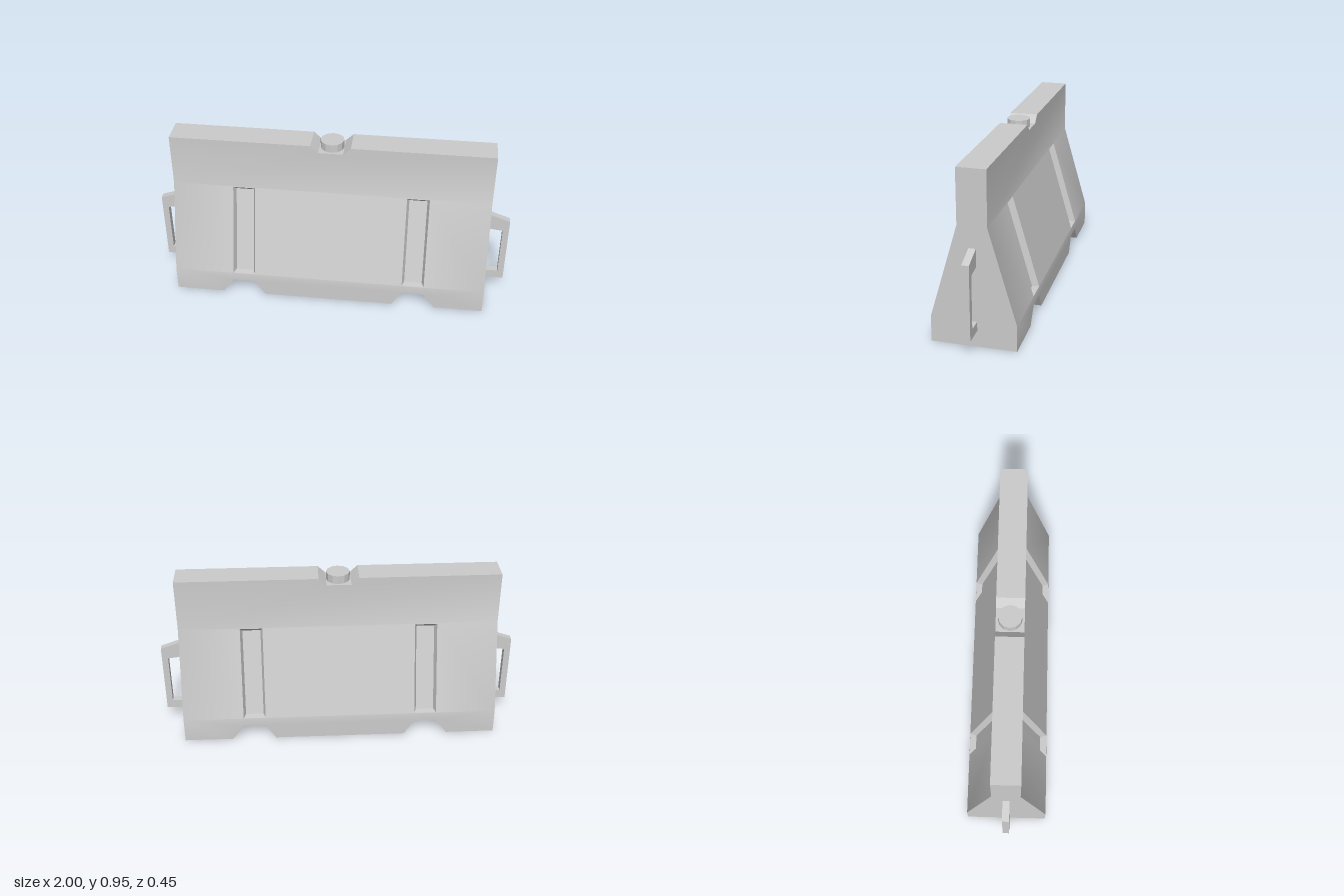
import * as THREE from 'three';
import { mergeGeometries, toCreasedNormals } from 'three/addons/utils/BufferGeometryUtils.js';

const material = new THREE.MeshStandardMaterial({ color: 0xcccccc });
const HALF = 0.89, TOP = 0.945, LOW = 0.14, HIGH = 0.65;
const BASE_W = 0.225, TOP_W = 0.077;

// half thickness of the barrier at height y
function halfWidth(y) {
  const t = THREE.MathUtils.clamp((y - LOW) / (HIGH - LOW), 0, 1);
  return THREE.MathUtils.lerp(BASE_W, TOP_W, t);
}

const toShape = (pts) => new THREE.Shape(pts.map(([x, y]) => new THREE.Vector2(x, y)));
const rect = (x0, x1, y0, y1) => [[x0, y0], [x1, y0], [x1, y1], [x0, y1]];

// geometry from a list of four-cornered faces
function quads(list) {
  const pos = [];
  for (const [a, b, c, d] of list) pos.push(...a, ...b, ...c, ...a, ...c, ...d);
  const g = new THREE.BufferGeometry();
  g.setAttribute('position', new THREE.Float32BufferAttribute(pos, 3));
  return g;
}

// flat band of the face, bent to the barrier's profile
function skin(pts, holes = []) {
  const shape = toShape(pts);
  shape.holes = holes.map((h) => new THREE.Path(h.map(([x, y]) => new THREE.Vector2(x, y))));
  const g = new THREE.ShapeGeometry(shape).toNonIndexed();
  const p = g.attributes.position;
  for (let i = 0; i < p.count; i++) p.setZ(i, halfWidth(p.getY(i)));
  g.deleteAttribute('uv');
  g.deleteAttribute('normal');
  return g;
}

// tapered recess behind a slot in the face
function pocket(outer, inner) {
  const o = outer.map(([x, y]) => [x, y, halfWidth(y)]);
  const n = inner.map(([x, y]) => [x, y, halfWidth(y) - 0.035]);
  const faces = o.map((p, i) => {
    const j = (i + 1) % 4;
    return [p, o[j], n[j], n[i]];
  });
  return quads([...faces, n]);
}

function bodyGeometry() {
  // outline pieces, counter-clockwise from the front
  const bottom = [
    [-HALF, 0], [-0.615, 0], [-0.55, 0.09], [-0.425, 0.09], [-0.37, 0],
    [0.37, 0], [0.425, 0.09], [0.55, 0.09], [0.615, 0], [HALF, 0],
  ];
  const top = [
    [HALF, TOP], [0.11, TOP], [0.068, 0.905], [-0.068, 0.905], [-0.11, TOP], [-HALF, TOP],
  ];
  const slots = [-0.4875, 0.4875].map((c) => ({
    outer: rect(c - 0.0625, c + 0.0625, 0.142, 0.645),
    inner: rect(c - 0.05, c + 0.05, 0.146, 0.62),
  }));

  const side = mergeGeometries([
    skin([...bottom, [HALF, LOW], [-HALF, LOW]]),
    skin(rect(-HALF, HALF, LOW, HIGH), slots.map((s) => s.outer)),
    skin([[-HALF, HIGH], [HALF, HIGH], ...top]),
    ...slots.map((s) => pocket(s.outer, s.inner)),
  ]);

  // ends, top, underside and the notches
  const outline = [...bottom, [HALF, LOW], [HALF, HIGH], ...top, [-HALF, HIGH], [-HALF, LOW]];
  const rim = quads(outline.map(([px, py], i) => {
    const [qx, qy] = outline[(i + 1) % outline.length];
    const pw = halfWidth(py), qw = halfWidth(qy);
    return [[px, py, pw], [px, py, -pw], [qx, qy, -qw], [qx, qy, qw]];
  }));

  return toCreasedNormals(mergeGeometries([side, side.clone().rotateY(Math.PI), rim]), 0.5);
}

function handleGeometry() {
  const g = new THREE.ExtrudeGeometry(toShape([
    [0.88, 0.09], [1, 0.09], [1, 0.495], [0.88, 0.537],
    [0.88, 0.44], [0.965, 0.43], [0.965, 0.14], [0.88, 0.14],
  ]), { depth: 0.038, bevelEnabled: false });
  return g.translate(0, 0, -0.019);
}

export function createModel() {
  const model = new THREE.Group();
  model.name = 'roadBarrier';
  const add = (name, geometry) => {
    const mesh = new THREE.Mesh(geometry, material);
    mesh.name = name;
    model.add(mesh);
    return mesh;
  };

  add('body', bodyGeometry()).position.x = -0.005;

  // connecting brackets on both ends
  add('leftBracket', handleGeometry());
  add('rightBracket', handleGeometry().rotateY(Math.PI));

  // filler cap in the top notch
  const cap = new THREE.CylinderGeometry(0.065, 0.065, 0.047, 12);
  add('fillerCap', toCreasedNormals(cap, 0.3)).position.set(-0.003, 0.9275, 0);

  return model;
}
